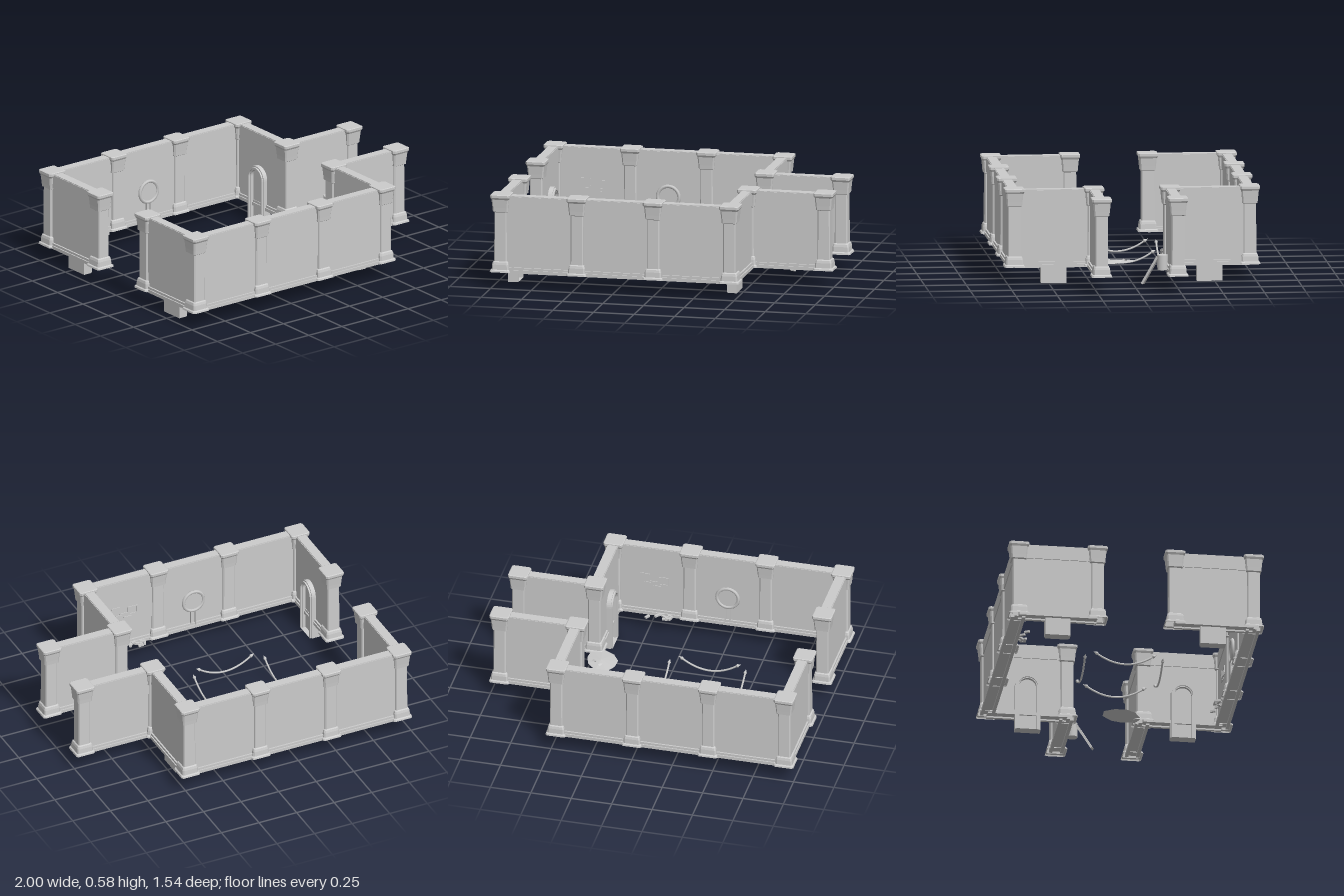
import * as THREE from 'three';

const material = new THREE.MeshStandardMaterial({ color: 0xcccccc, flatShading: true, side: THREE.DoubleSide });
const smooth = new THREE.MeshStandardMaterial({ color: 0xcccccc, side: THREE.DoubleSide });

function add(parent, name, geometry, x = 0, y = 0, z = 0, mat = material) {
  const mesh = new THREE.Mesh(geometry, mat);
  mesh.name = name;
  mesh.position.set(x, y, z);
  parent.add(mesh);
  return mesh;
}

function box(parent, name, w, h, d, x, y, z) {
  return add(parent, name, new THREE.BoxGeometry(w, h, d), x, y, z);
}

// Square pillar with chamfered corners: half width and height pairs, hollow below
function pillarGeometry() {
  const profile = [
    [0.062, 0.105], [0.06, 0.115], [0.052, 0.12], [0.05, 0.15], [0.046, 0.165], [0.039, 0.17],
    [0.038, 0.47], [0.046, 0.475], [0.048, 0.5], [0.053, 0.55], [0.06, 0.562], [0.06, 0.577], [0.055, 0.58], [0, 0.58],
  ].map(([r, y]) => new THREE.Vector2(r, y));
  const geometry = new THREE.LatheGeometry(profile, 8, Math.PI / 8);
  const p = geometry.attributes.position;
  for (let i = 0; i < p.count; i++) {
    const x = p.getX(i), z = p.getZ(i), h = Math.hypot(x, z);
    const wide = Math.abs(x) > Math.abs(z);
    p.setX(i, Math.sign(x) * h * (wide ? 1 : 0.84));
    p.setZ(i, Math.sign(z) * h * (wide ? 0.84 : 1));
  }
  geometry.computeVertexNormals();
  return geometry;
}

// Wall bay between two pillar centres: panel, thicker top band, base mouldings
function wall(parent, [x0, z0], [x1, z1]) {
  const bay = new THREE.Group();
  bay.name = 'wallBay';
  const length = Math.hypot(x1 - x0, z1 - z0);
  bay.position.set((x0 + x1) / 2, 0, (z0 + z1) / 2);
  bay.rotation.y = -Math.atan2(z1 - z0, x1 - x0);
  box(bay, 'wallPanel', length, 0.38, 0.052, 0, 0.3, 0);
  box(bay, 'topBand', length, 0.086, 0.064, 0, 0.525, 0);
  box(bay, 'coping', length, 0.008, 0.056, 0, 0.568, 0);
  for (const s of [-1, 1]) {
    box(bay, 'baseMoulding', length, 0.02, 0.02, 0, 0.11, s * 0.033);
    box(bay, 'baseStep', length, 0.014, 0.012, 0, 0.127, s * 0.03);
  }
  parent.add(bay);
}

// Outline of an arch standing on y = 0
function archPath(half, top, Type = THREE.Shape) {
  const path = new Type();
  path.moveTo(-half, 0);
  path.lineTo(half, 0);
  path.lineTo(half, top - half);
  path.absarc(0, top - half, half, 0, Math.PI, false);
  path.lineTo(-half, 0);
  return path;
}

// Arched door: outer frame, raised inner rim and door leaf
function archDoor(parent, x, z, turn) {
  const door = new THREE.Group();
  door.name = 'archDoor';
  const ring = (outer, top, inner, depth) => {
    const frame = archPath(outer, top);
    const cut = new THREE.Path();
    const r = inner, spring = top - outer;
    cut.moveTo(-r, 0.001);
    cut.lineTo(r, 0.001);
    cut.lineTo(r, spring);
    cut.absarc(0, spring, r, 0, Math.PI, false);
    cut.lineTo(-r, 0.001);
    frame.holes.push(cut);
    return new THREE.ExtrudeGeometry(frame, { depth, bevelEnabled: false, curveSegments: 10 });
  };
  add(door, 'doorFrame', ring(0.077, 0.365, 0.052, 0.053));
  add(door, 'doorRim', ring(0.07, 0.358, 0.058, 0.063));
  add(door, 'doorLeaf', new THREE.ExtrudeGeometry(archPath(0.053, 0.341), { depth: 0.032, bevelEnabled: false }));
  door.position.set(x, 0, z);
  door.rotation.y = turn;
  parent.add(door);
}

// Round wall ornament, cracked masonry and fallen chips on the long back wall
function backWallDetails(mirrored) {
  const side = new THREE.Group();
  side.name = mirrored ? 'frontWallDetails' : 'backWallDetails';
  add(side, 'ornamentRing', new THREE.TorusGeometry(0.066, 0.011, 6, 24), 0, 0.29, -0.676, smooth);
  add(side, 'ornamentDisc', new THREE.CylinderGeometry(0.062, 0.062, 0.012, 24), 0, 0.29, -0.68).rotation.x = Math.PI / 2;
  for (const s of [-1, 1]) box(side, 'ornamentStem', 0.008, 0.11, 0.014, s * 0.014, 0.172, -0.678);
  // crack made of short stepped strips
  const crack = [[-0.08, 0.38, 0.06, 0], [-0.05, 0.355, 0.05, 1], [-0.025, 0.33, 0.06, 0], [0.005, 0.345, 0.04, 1],
    [0.035, 0.365, 0.06, 0], [0.065, 0.34, 0.05, 1], [0.04, 0.315, 0.05, 0], [-0.06, 0.32, 0.04, 0], [0.0, 0.3, 0.05, 0]];
  for (const [x, y, l, up] of crack) {
    box(side, 'crackEdge', up ? 0.008 : l, up ? l : 0.008, 0.008, x - 0.435, y, -0.684);
  }
  // chips on the floor
  const chips = [[-0.72, -0.627, 1], [-0.665, -0.648, 0.9], [-0.64, -0.662, 0.4], [-0.625, -0.652, -0.7],
    [-0.60, -0.64, 0.8], [-0.585, -0.652, -0.4], [-0.61, -0.625, 0.1], [-0.58, -0.633, 1.2]];
  chips.forEach(([x, z, a], i) => {
    box(side, 'fallenChip', 0.033, 0.012, 0.015, x + 0.235, 0.111 + (i % 3) * 0.003, z).rotation.y = a;
  });
  side.position.x = -0.235;
  if (mirrored) side.rotation.y = Math.PI;
  return side;
}

// Hanging rope with a knob and a hook ring at each end
function rope(parent, x, z, turn) {
  const group = new THREE.Group();
  group.name = 'hangingRope';
  const points = [];
  for (let i = 0; i <= 12; i++) {
    const t = i / 6 - 1;
    points.push(new THREE.Vector3(t * 0.172, 0.05 + 0.062 * t * t, 0));
  }
  add(group, 'ropeStrand', new THREE.TubeGeometry(new THREE.CatmullRomCurve3(points), 32, 0.006, 6), 0, 0, 0, smooth);
  for (const s of [-1, 1]) {
    add(group, 'ropeKnob', new THREE.SphereGeometry(0.0105, 8, 6), s * 0.172, 0.112, 0, smooth);
    const tip = add(group, 'ropeTip', new THREE.ConeGeometry(0.009, 0.022, 6), s * 0.184, 0.119, 0);
    tip.rotation.z = -s * 1.1;
  }
  group.position.set(x, 0, z);
  group.rotation.y = turn;
  parent.add(group);
}

export function createModel() {
  const model = new THREE.Group();
  model.name = 'walledCourtyard';

  // Pillars and walls along each half of the enclosure
  const pillar = pillarGeometry();
  for (const s of [-1, 1]) {
    const route = [[-0.94, 0.235], [-0.94, 0.71], [-0.47, 0.71], [0, 0.71], [0.47, 0.71], [0.47, 0.23], [0.94, 0.23]]
      .map(([x, z]) => [x, z * s]);
    route.forEach((point, i) => {
      add(model, 'pillar', pillar, point[0], 0, point[1]);
      if (i) wall(model, route[i - 1], point);
    });
    archDoor(model, -0.94, s * 0.47, Math.PI / 2);
    archDoor(model, 0.47, s * 0.47, -Math.PI / 2);
    model.add(backWallDetails(s > 0));
    rope(model, -0.235, s * 0.235, 0);
    rope(model, -0.235 + s * 0.235, 0, Math.PI / 2);
  }

  // Flat rubble heap by the gate, shallow on both sides
  const heap = new THREE.Group();
  heap.name = 'rubbleHeap';
  const outline = [[0.34, -0.02], [0.41, -0.02], [0.47, 0.04], [0.49, 0.11], [0.48, 0.19], [0.42, 0.215], [0.34, 0.17], [0.3, 0.11], [0.305, 0.04]];
  const corners = [];
  for (let i = 0; i < outline.length; i++) {
    const [ax, az] = outline[i], [bx, bz] = outline[(i + 1) % outline.length];
    corners.push(0.4, 0.126, 0.08, bx, 0.114, bz, ax, 0.114, az);
    corners.push(0.4, 0.1, 0.1, ax, 0.114, az, bx, 0.114, bz);
  }
  const mound = new THREE.BufferGeometry();
  mound.setAttribute('position', new THREE.Float32BufferAttribute(corners, 3));
  mound.computeVertexNormals();
  add(heap, 'mound', mound);
  for (const [x, z, a] of [[0.39, 0.035, 0.9], [0.435, 0.065, -0.4]]) {
    const shard = add(heap, 'shard', new THREE.TetrahedronGeometry(0.017), x, 0.123, z);
    shard.scale.set(1.5, 0.5, 0.7);
    shard.rotation.y = a;
  }
  model.add(heap);

  // Bucket with a plank leaning on it
  const bucket = new THREE.Group();
  bucket.name = 'bucketAndPlank';
  add(bucket, 'bucket', new THREE.CylinderGeometry(0.033, 0.031, 0.09, 16), 0.73, 0.155, -0.16, smooth);
  const top = new THREE.Vector3(0.72, 0.188, -0.135), foot = new THREE.Vector3(0.677, 0.02, -0.046);
  const plank = box(bucket, 'plank', 0.035, top.distanceTo(foot), 0.014, 0, 0, 0);
  plank.position.copy(top).add(foot).multiplyScalar(0.5);
  plank.rotation.order = 'YXZ';
  plank.rotation.set(-Math.atan2(0.099, 0.168), Math.atan2(0.043, -0.089) + Math.PI, 0);
  bucket.add(plank);
  model.add(bucket);

  return model;
}
